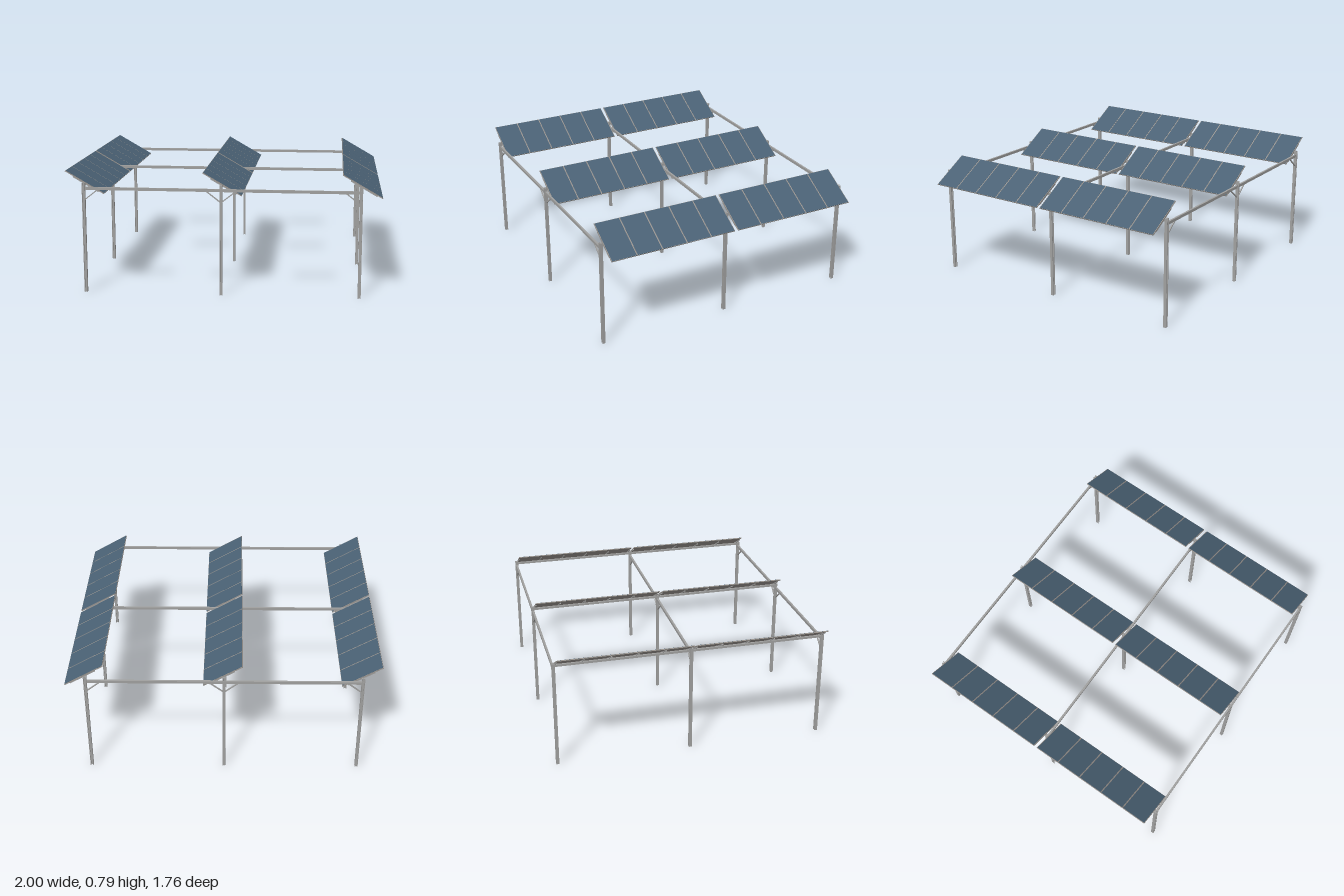
import * as THREE from 'three';

const steel = new THREE.MeshStandardMaterial({ name: 'galvanised steel', color: 0xa0a09f });
const frame = new THREE.MeshStandardMaterial({ name: 'panel frame', color: 0x98938e });
const glass = new THREE.MeshStandardMaterial({ name: 'solar glass', color: 0x4b6275 });

const POST_X = [-0.88, -0.007, 0.866];
const POST_Z = [-0.872, 0, 0.872];
const TILT = -Math.PI / 6;

function box(parent, name, size, pos, mat) {
  const m = new THREE.Mesh(new THREE.BoxGeometry(...size), mat);
  m.name = name;
  m.position.set(...pos);
  parent.add(m);
  return m;
}

// H-section column standing on the ground
function hSection(w, d, height) {
  const a = w / 2, b = d / 2, f = 0.005, t = 0.003;
  const pts = [[-a, -b], [-a + f, -b], [-a + f, -t], [a - f, -t], [a - f, -b], [a, -b],
    [a, b], [a - f, b], [a - f, t], [-a + f, t], [-a + f, b], [-a, b]];
  const shape = new THREE.Shape(pts.map(p => new THREE.Vector2(...p)));
  return new THREE.ExtrudeGeometry(shape, { depth: height, bevelEnabled: false }).rotateX(-Math.PI / 2);
}

// Diagonal knee brace from the post up to the beam
function brace(parent, x, z, dir) {
  const dx = 0.09 * dir, dy = 0.07;
  const m = box(parent, 'kneeBrace', [Math.hypot(dx, dy), 0.007, 0.008], [x + dx / 2, 0.598 + dy / 2, z], steel);
  m.rotation.z = Math.atan2(dy, dx);
}

// One sloping run of five framed panels on rails
function panelRun(x, z) {
  const run = new THREE.Group();
  run.name = 'panelRun';
  run.position.set(x, 0.7125, z);
  run.rotation.z = TILT;
  const pitch = 0.1705;
  for (let i = 0; i < 5; i++) {
    const pz = (i - 2) * pitch;
    box(run, 'panelFrame', [0.285, 0.006, pitch - 0.0005], [0, 0, pz], frame);
    box(run, 'panelGlass', [0.281, 0.001, pitch - 0.008], [0, 0.0033, pz], glass);
  }
  // sloping rails under the seams
  for (let i = 0; i < 6; i++) {
    const rz = THREE.MathUtils.clamp((i - 2.5) * pitch, -0.422, 0.422);
    box(run, 'slopingRail', [0.19, 0.007, 0.007], [0.012, -0.0065, rz], steel);
  }
  return run;
}

export function createModel() {
  const model = new THREE.Group();
  model.name = 'solarCanopy';
  const postGeo = hSection(0.02, 0.02, 0.71);

  // Posts, cross beams and braces
  for (const z of POST_Z) {
    box(model, 'crossBeam', [POST_X[2] - POST_X[0], 0.018, 0.013],
      [(POST_X[0] + POST_X[2]) / 2, 0.676, z], steel);
    POST_X.forEach((x, i) => {
      const post = new THREE.Mesh(postGeo, steel);
      post.name = 'post';
      post.position.set(x, 0, z);
      if (i === 1) post.scale.x = 0.85;
      model.add(post);
      if (i > 0) brace(model, x, z, -1);
      if (i < 2) brace(model, x, z, 1);
    });
  }

  // Panel rows, each with a carrying tube between the posts
  [-0.875, 0, 0.875].forEach((x, i) => {
    box(model, 'carryingTube', [0.012, 0.014, 1.744], [POST_X[i], 0.696, 0], steel);
    for (const z of [-0.437, 0.437]) model.add(panelRun(x, z));
  });
  return model;
}
